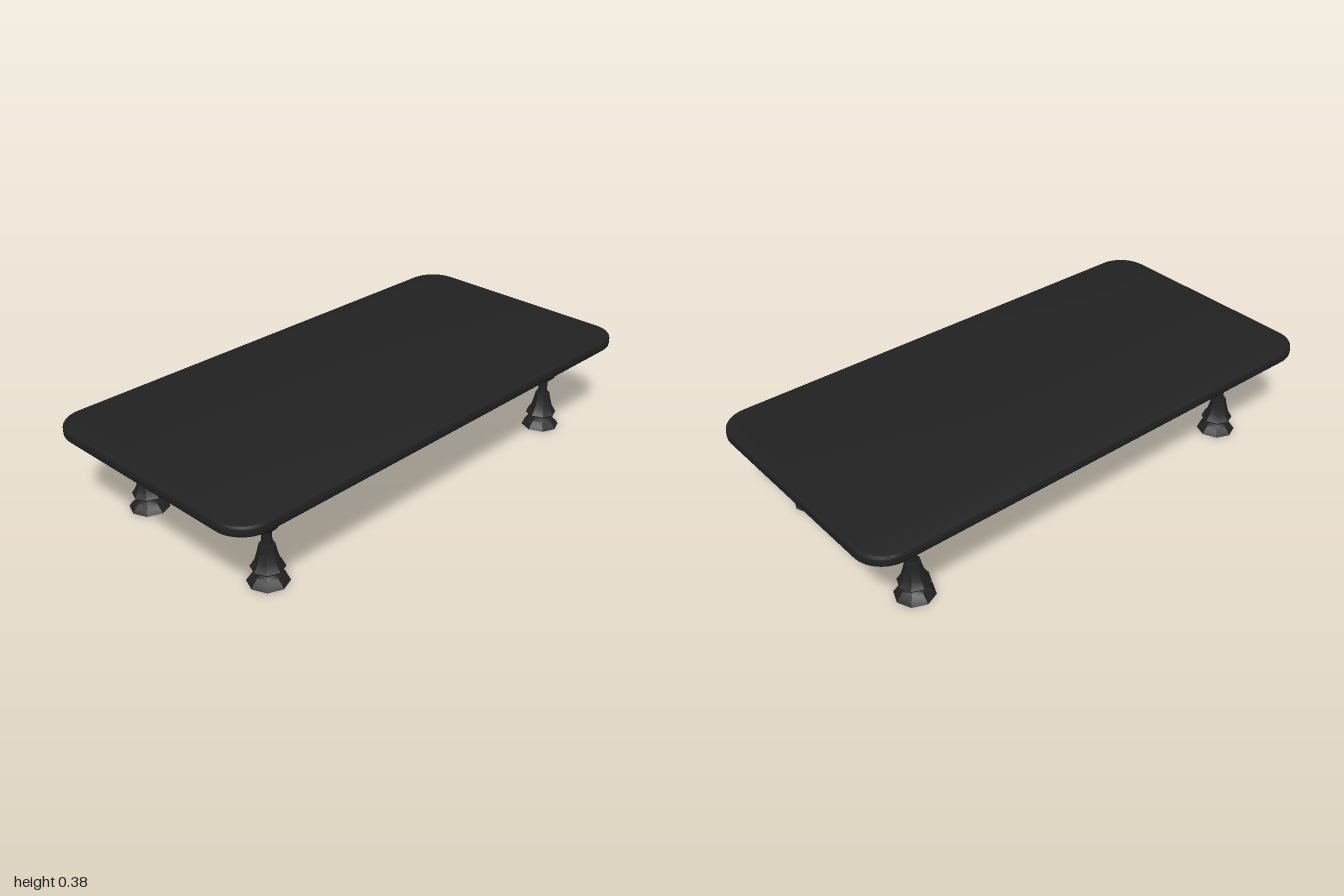
import * as THREE from 'three';
import { toCreasedNormals } from 'three/addons/utils/BufferGeometryUtils.js';

// Rounded rectangle centred on the origin
function roundedRect(w, d, r) {
  const x = w / 2, y = d / 2, s = new THREE.Shape();
  s.moveTo(-x + r, -y);
  s.lineTo(x - r, -y);
  s.absarc(x - r, -y + r, r, -Math.PI / 2, 0);
  s.lineTo(x, y - r);
  s.absarc(x - r, y - r, r, 0, Math.PI / 2);
  s.lineTo(-x + r, y);
  s.absarc(-x + r, y - r, r, Math.PI / 2, Math.PI);
  s.lineTo(-x, -y + r);
  s.absarc(-x + r, -y + r, r, Math.PI, Math.PI * 1.5);
  return s;
}

export function createModel() {
  const table = new THREE.Group();
  table.name = 'lowTable';
  const black = new THREE.MeshStandardMaterial({ color: 0x222222 });
  black.name = 'blackWood';

  // Table top with softened rim
  const bevel = 0.007, edge = 0.012, thickness = 0.04;
  const topGeo = new THREE.ExtrudeGeometry(roundedRect(1 - 2 * bevel, 2 - 2 * bevel, 0.11), {
    depth: thickness - 2 * edge, bevelThickness: edge, bevelSize: bevel,
    bevelSegments: 3, curveSegments: 8,
  });
  topGeo.rotateX(-Math.PI / 2).translate(0, 0.34 + edge, 0);
  const top = new THREE.Mesh(toCreasedNormals(topGeo, 0.6), black);
  top.name = 'tableTop';
  table.add(top);

  // Turned leg: foot, bell, neck, collar and post, eight-sided
  const profile = [
    [0, 0], [0.074, 0], [0.064, 0.015], [0.048, 0.03], [0.03, 0.04],
    [0.058, 0.053], [0.06, 0.058], [0.054, 0.066], [0.043, 0.085], [0.033, 0.12], [0.028, 0.145],
    [0.018, 0.146], [0.018, 0.195],
    [0.048, 0.222], [0.05, 0.229], [0.046, 0.243], [0.035, 0.251], [0.033, 0.262],
    [0.0255, 0.264], [0.0255, 0.342],
  ].map(([r, y]) => new THREE.Vector2(r, y));
  const legGeo = toCreasedNormals(new THREE.LatheGeometry(profile, 8), 0.5);
  for (const x of [-1, 1]) for (const z of [-1, 1]) {
    const leg = new THREE.Mesh(legGeo, black);
    leg.name = (z > 0 ? 'front' : 'back') + (x > 0 ? 'Left' : 'Right') + 'Leg';
    leg.position.set(x * 0.321, 0, z * 0.747);
    table.add(leg);
  }
  return table;
}
